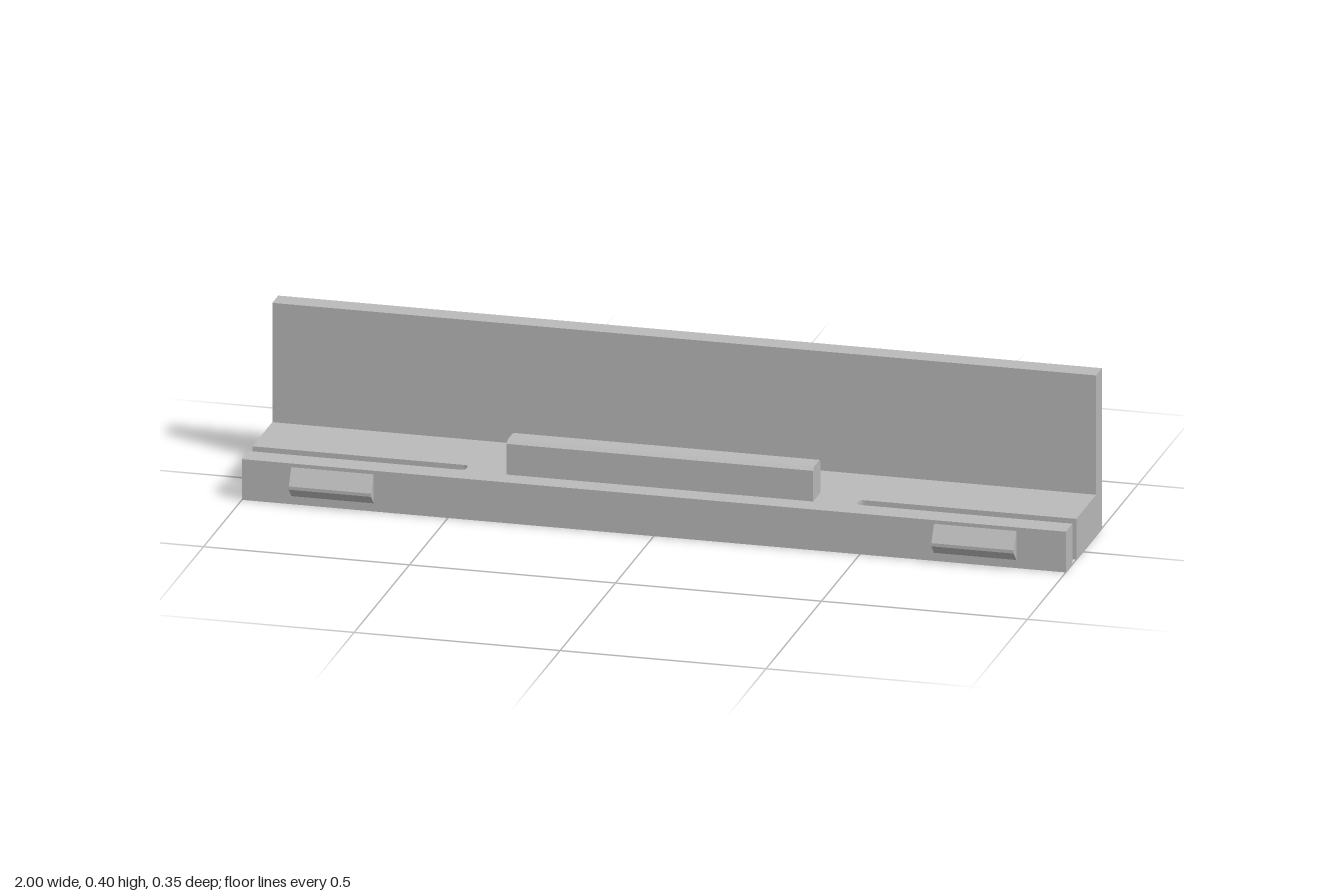
import * as THREE from 'three';

const grey = new THREE.MeshStandardMaterial({ color: 0xbababa });
grey.name = 'grey plastic';

// Extrude a [z, y] profile along x, from x0 to x1
function bar(name, points, x0, x1) {
  const shape = new THREE.Shape(points.map(([z, y]) => new THREE.Vector2(z, y)));
  const geo = new THREE.ExtrudeGeometry(shape, { depth: x1 - x0, bevelEnabled: false });
  geo.rotateY(-Math.PI / 2).translate(x1, 0, 0);
  const mesh = new THREE.Mesh(geo, grey);
  mesh.name = name;
  return mesh;
}

export function createModel() {
  const group = new THREE.Group();
  group.name = 'slottedRail';

  const back = -0.175, front = 0.153, baseTop = 0.101;
  const slotBack = 0.058, slotFront = 0.093, slotEnd = 0.475, r = 0.012;

  // Base plate with a slot open at each end, drawn in plan (x, -z)
  const s = new THREE.Shape();
  s.moveTo(-1, -front);
  s.lineTo(1, -front);
  s.lineTo(1, -slotFront);
  s.lineTo(slotEnd + r, -slotFront);
  s.quadraticCurveTo(slotEnd, -slotFront, slotEnd, -slotFront + r);
  s.lineTo(slotEnd, -slotBack - r);
  s.quadraticCurveTo(slotEnd, -slotBack, slotEnd + r, -slotBack);
  s.lineTo(1, -slotBack);
  s.lineTo(1, -back);
  s.lineTo(-1, -back);
  s.lineTo(-1, -slotBack);
  s.lineTo(-slotEnd - r, -slotBack);
  s.quadraticCurveTo(-slotEnd, -slotBack, -slotEnd, -slotBack - r);
  s.lineTo(-slotEnd, -slotFront + r);
  s.quadraticCurveTo(-slotEnd, -slotFront, -slotEnd - r, -slotFront);
  s.lineTo(-1, -slotFront);
  s.closePath();
  const baseGeo = new THREE.ExtrudeGeometry(s, { depth: baseTop, bevelEnabled: false, curveSegments: 4 });
  baseGeo.rotateX(-Math.PI / 2);
  const base = new THREE.Mesh(baseGeo, grey);
  base.name = 'base';
  group.add(base);

  // Upright wall along the back edge
  group.add(bar('backWall', [[back, baseTop], [-0.121, baseTop], [-0.121, 0.397], [back, 0.397]], -1, 1));

  // Raised rib with chamfered top edges
  group.add(bar('centreRib', [
    [0.032, baseTop], [0.098, baseTop], [0.098, 0.177],
    [0.09, 0.185], [0.04, 0.185], [0.032, 0.177],
  ], -0.372, 0.372));

  // Wedge-shaped snap catches on the front lip
  const wedge = [[front, 0.02], [0.177, 0.044], [0.177, 0.052], [front, 0.092]];
  group.add(bar('leftCatch', wedge, 0.68, 0.88));
  group.add(bar('rightCatch', wedge, -0.88, -0.68));

  return group;
}
